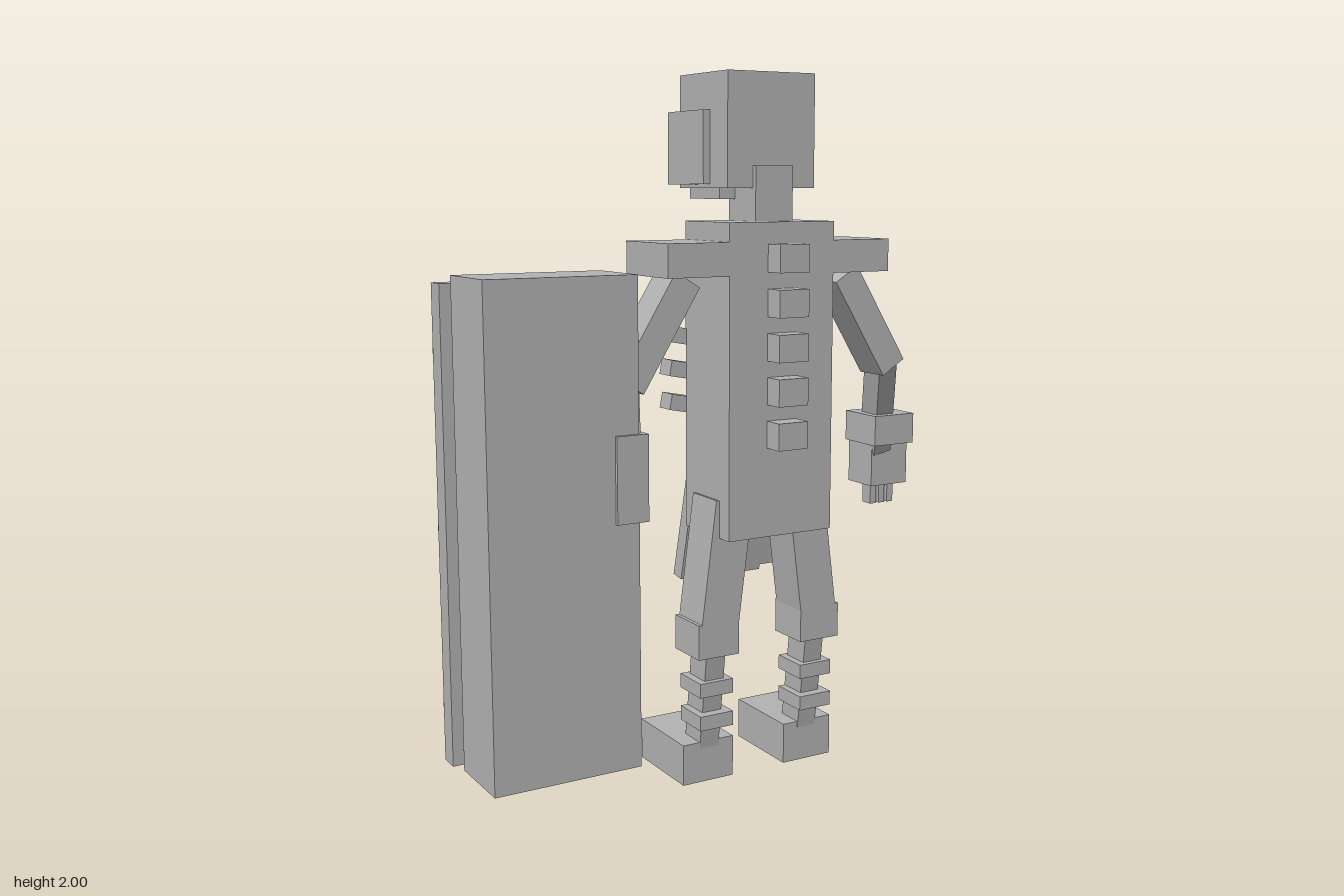
import * as THREE from 'three';

const CX = 0.135; // symmetry plane of the figure

export function createModel() {
  const model = new THREE.Group();
  model.name = 'skeletonWithCoffin';
  const stone = new THREE.MeshStandardMaterial({ color: 0xb2b2b2 });
  stone.name = 'stone grey';

  function add(name, geometry, parent = model) {
    const mesh = new THREE.Mesh(geometry, stone);
    mesh.name = name;
    parent.add(mesh);
    return mesh;
  }
  function group(name) {
    const g = new THREE.Group();
    g.name = name;
    model.add(g);
    return g;
  }
  // Box given by its extents
  function box(name, x0, x1, y0, y1, z0, z1, parent) {
    const m = add(name, new THREE.BoxGeometry(x1 - x0, y1 - y0, z1 - z0), parent);
    m.position.set((x0 + x1) / 2, (y0 + y1) / 2, (z0 + z1) / 2);
    return m;
  }
  // Box running between two points
  function limb(name, a, b, width, depth, parent) {
    const p = new THREE.Vector3(...a), q = new THREE.Vector3(...b);
    const dir = q.clone().sub(p);
    const m = add(name, new THREE.BoxGeometry(width, dir.length(), depth), parent);
    m.position.copy(p).add(q).multiplyScalar(0.5);
    m.quaternion.setFromUnitVectors(new THREE.Vector3(0, -1, 0), dir.normalize());
    return m;
  }
  // Box placed by offsets from the symmetry plane, on side s
  function sideBox(name, s, d0, d1, y0, y1, z0, z1, parent) {
    const a = CX + s * d0, b = CX + s * d1;
    return box(name, Math.min(a, b), Math.max(a, b), y0, y1, z0, z1, parent);
  }

  // Head with cheek plates, jaw, eyes and teeth
  const head = group('head');
  box('skull', -0.005, 0.275, 1.69, 2, -0.155, 0.105, head);
  box('jaw', 0.025, 0.245, 1.66, 1.69, -0.15, 0.013, head);
  box('mouth', 0.045, 0.225, 1.745, 1.765, -0.17, -0.15, head);
  for (let i = 0; i < 5; i++) {
    const x = CX + (i - 2) * 0.036;
    box('tooth', x - 0.012, x + 0.012, 1.71, 1.75, -0.18, -0.15, head);
  }
  for (const s of [-1, 1]) {
    sideBox('cheekPlate', s, 0.13, 0.162, 1.7, 1.9, -0.185, 0.013, head);
    sideBox('eyeSocket', s, 0.028, 0.108, 1.835, 1.915, -0.172, -0.15, head);
    sideBox('eye', s, 0.05, 0.086, 1.855, 1.893, -0.188, -0.15, head);
  }

  // Torso, neck and spine
  box('neck', 0.075, 0.195, 1.58, 1.75, -0.02, 0.12);
  box('torso', -0.035, 0.302, 0.73, 1.6, -0.072, 0.166);
  for (let i = 0; i < 5; i++) {
    const y = 1.503 - i * 0.121;
    box('vertebra', 0.087, 0.182, y - 0.038, y + 0.038, 0.16, 0.226);
  }

  // Parts mirrored on both sides
  for (const s of [-1, 1]) {
    sideBox('shoulder', s, 0.16, 0.357, 1.457, 1.548, -0.07, 0.165);
    for (let i = 0; i < 5; i++) {
      const rib = add('rib', new THREE.BoxGeometry(0.225, 0.045, 0.06));
      rib.position.set(CX + s * 0.11, 1.458 - i * 0.0965, -0.098);
      rib.rotation.z = s * 0.19;
    }
    limb('upperArm', [CX + s * 0.26, 1.448, 0.045], [CX + s * 0.433, 1.17, 0.045], 0.086, 0.112);

    // Legs with banded shins
    const leg = group(s > 0 ? 'leftLeg' : 'rightLeg');
    limb('thigh', [CX + s * 0.12, 0.83, 0.05], [CX + s * 0.167, 0.47, 0.05], 0.12, 0.13, leg);
    sideBox('knee', s, 0.105, 0.236, 0.387, 0.487, -0.02, 0.115, leg);
    limb('shin', [CX + s * 0.168, 0.4, 0.052], [CX + s * 0.168, 0.1, 0.012], 0.062, 0.085, leg);
    for (const y of [0.29, 0.193])
      sideBox('shinBand', s, 0.115, 0.222, y - 0.021, y + 0.021, -0.015, 0.1, leg);
    sideBox('foot', s, 0.088, 0.253, 0, 0.12, -0.2, 0.055, leg);
    for (let i = 0; i < 4; i++) {
      const d = 0.17 + (i - 1.5) * 0.034;
      sideBox('toe', s, d - 0.011, d + 0.011, 0.024, 0.066, -0.225, -0.19, leg);
    }
  }

  // Left forearm and hand, hanging free
  const arm = group('leftForearm');
  limb('forearm', [0.56, 1.19, 0.05], [0.635, 0.9, -0.07], 0.062, 0.075, arm);
  box('cuff', 0.548, 0.69, 0.927, 1.017, -0.105, 0.045, arm);
  box('hand', 0.6, 0.733, 0.785, 0.917, -0.158, -0.04, arm);
  for (const x of [0.638, 0.67, 0.702])
    box('finger', x - 0.011, x + 0.011, 0.72, 0.79, -0.12, -0.08, arm);

  // Right hand, gripping the coffin
  limb('rightForearm', [-0.298, 1.19, 0.045], [-0.3, 1, 0.06], 0.062, 0.075);
  box('rightHand', -0.35, -0.255, 0.803, 1.043, 0.015, 0.115);

  // Ragged loincloth, hanging outwards over the hips
  const cloth = new THREE.Shape([
    [-0.145, 0], [-0.1, 0], [-0.1, -0.02], [-0.04, -0.02], [-0.04, 0], [0.07, 0], [0.07, -0.02],
    [0.11, -0.02], [0.11, 0], [0.145, 0], [0.17, -0.37], [0.1, -0.37], [0.1, -0.385],
    [0.01, -0.385], [0.01, -0.41], [-0.075, -0.41], [-0.075, -0.38], [-0.17, -0.38],
  ].map(([x, y]) => new THREE.Vector2(x, y)));
  const loin = add('loincloth', new THREE.ExtrudeGeometry(cloth, { depth: 0.045, bevelEnabled: false }));
  loin.position.set(CX, 0.945, -0.095);
  loin.rotation.x = 0.14;

  // Coffin body and framed lid
  const coffin = group('coffin');
  box('coffinBody', -0.714, -0.279, 0.11, 1.467, -0.115, 0.105, coffin);
  box('lidCore', -0.69, -0.305, 0.15, 1.42, -0.145, -0.11, coffin);
  const rect = (T, w, h) => new T([[-w, -h], [w, -h], [w, h], [-w, h]].map(([x, y]) => new THREE.Vector2(x, y)));
  const frame = rect(THREE.Shape, 0.243, 0.662);
  frame.holes.push(rect(THREE.Path, 0.185, 0.6));
  const lid = add('lidFrame', new THREE.ExtrudeGeometry(frame, { depth: 0.06, bevelEnabled: false }), coffin);
  lid.position.set(-0.497, 0.783, -0.19);
  for (let i = 0; i < 5; i++) {
    const x = -0.497 + (i - 2) * 0.074;
    box('plank', x - 0.033, x + 0.033, 0.183, 1.383, -0.17, -0.14, coffin);
  }
  for (const y of [1.25, 0.77, 0.29])
    for (const x of [-0.713, -0.281])
      box('stud', x - 0.021, x + 0.021, y - 0.021, y + 0.021, -0.208, -0.185, coffin);

  // Carved bones on the lid
  box('carvedSkull', -0.583, -0.411, 1.08, 1.25, -0.214, -0.16, coffin);
  box('carvedSpine', -0.52, -0.474, 0.56, 1.1, -0.197, -0.16, coffin);
  for (let i = 0; i < 4; i++) {
    const y = 1.02 - i * 0.096;
    box('carvedRib', -0.6, -0.394, y - 0.018, y + 0.018, -0.205, -0.165, coffin);
  }
  return model;
}
